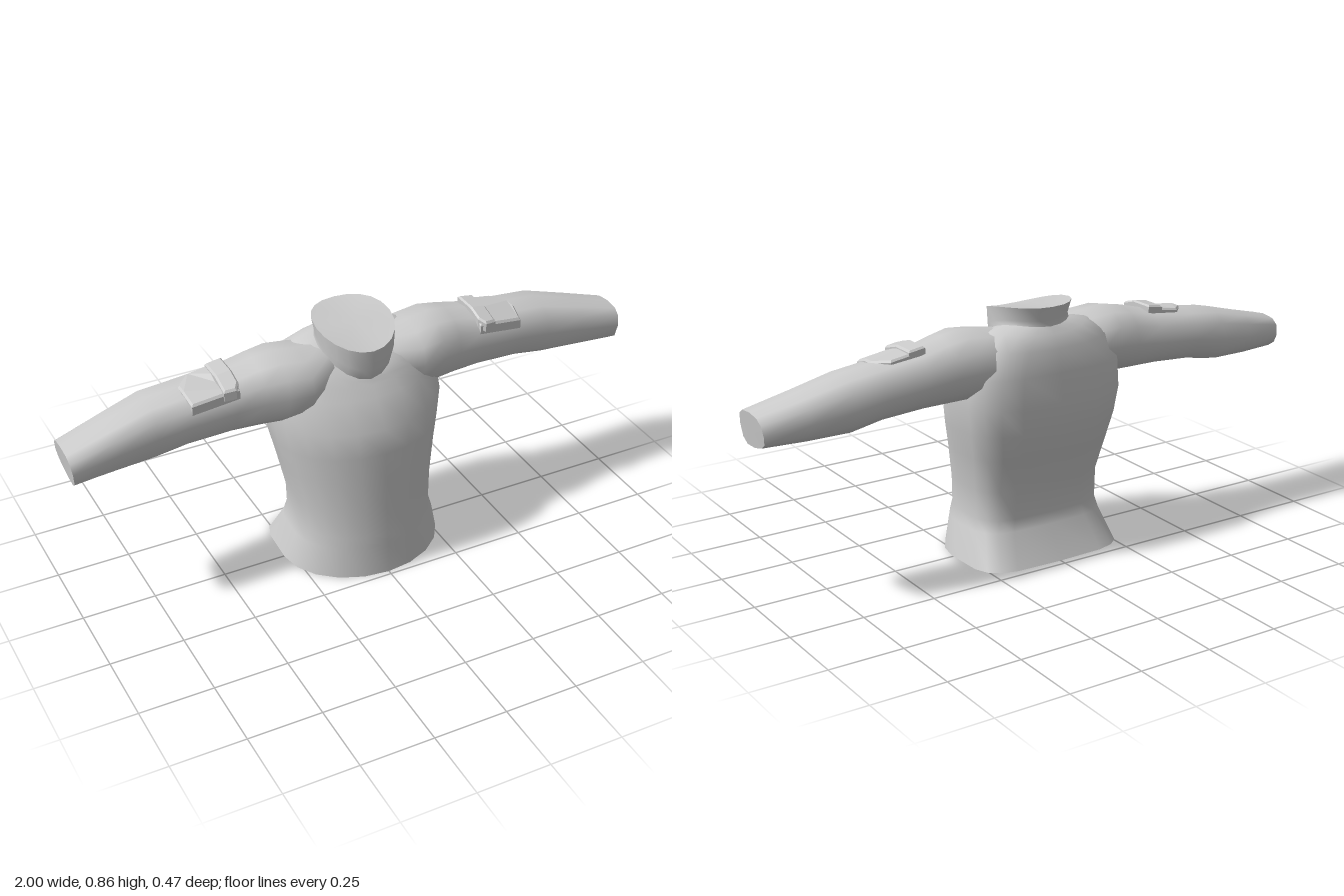
import * as THREE from 'three';

const fabric = new THREE.MeshStandardMaterial({ color: 0xcccccc, side: THREE.DoubleSide });
fabric.name = 'greyFabric';

const power = (v, e) => Math.sign(v) * Math.pow(Math.abs(v), e);

function addMesh(points, index, name) {
  const geo = new THREE.BufferGeometry().setFromPoints(points);
  geo.setIndex(index);
  geo.computeVertexNormals();
  const mesh = new THREE.Mesh(geo, fabric);
  mesh.name = name;
  return mesh;
}

// Smooth closed skin through a list of rings
function loft(rings, name) {
  const n = rings[0].length, index = [];
  for (let i = 0; i < rings.length - 1; i++) {
    for (let j = 0; j < n; j++) {
      const k = (j + 1) % n, a = i * n + j, b = i * n + k;
      index.push(a, b, a + n, b, b + n, a + n);
    }
  }
  return addMesh(rings.flat(), index, name);
}

// Flat fan closing one ring
function cap(ring, name, reverse) {
  const n = ring.length, index = [];
  const centre = ring.reduce((s, p) => s.add(p), new THREE.Vector3()).divideScalar(n);
  for (let j = 0; j < n; j++) {
    const k = (j + 1) % n;
    index.push(n, reverse ? k : j, reverse ? j : k);
  }
  return addMesh([...ring, centre], index, name);
}

// Body ring: heights at front, side and back, half width, front and back depth,
// and an exponent that squares off the back (1 is round)
function bodyRing([yf, ys, yb, w, zf, zb, e]) {
  const pts = [], n = 20;
  for (let j = 0; j < n; j++) {
    const a = (j / n) * Math.PI * 2, back = Math.cos(a) < -0.01;
    const c = power(Math.cos(a), back ? e : 1), s = power(Math.sin(a), back ? e : 1);
    const mid = (yf + yb) / 2;
    const y = mid + (c * (yf - yb)) / 2 + (ys - mid) * (1 - c * c);
    pts.push(new THREE.Vector3(w * s, y, (zf + zb) / 2 + (c * (zf - zb)) / 2));
  }
  return pts;
}

// Sleeve ring: distance out, top, bottom, front and back; squarer towards the cuff
function sleeveRing([x, top, bottom, zf, zb], side) {
  const pts = [], n = 12, e = 0.95 - 0.2 * x;
  for (let j = 0; j < n; j++) {
    const a = (j / n) * Math.PI * 2;
    const s = power(Math.sin(a), e), c = power(Math.cos(a), e);
    const lift = c < 0 ? 0.014 * c * s : 0;
    pts.push(new THREE.Vector3(
      side * (x + (x > 0.95 ? 0.007 * (c - 1) : 0)),
      (top + bottom) / 2 + (c * (top - bottom)) / 2 + lift,
      (zf + zb) / 2 + (s * (zf - zb)) / 2));
  }
  return side < 0 ? pts.reverse() : pts;
}

// Plate cut from a plan outline of [x, z] corners, dropping away outward and to the front
function plate(outline, side, top, thick, drop, name) {
  const shape = new THREE.Shape(outline.map(([x, z]) => new THREE.Vector2(side * x, -z)));
  const geo = new THREE.ExtrudeGeometry(shape, {
    depth: thick, bevelEnabled: true, bevelSize: 0.006, bevelThickness: 0.006, bevelSegments: 1,
  });
  geo.rotateX(-Math.PI / 2);
  const p = geo.attributes.position;
  for (let i = 0; i < p.count; i++) {
    const out = Math.abs(p.getX(i)) - 0.44, front = Math.max(0, p.getZ(i) + 0.02);
    p.setY(i, p.getY(i) - thick - 0.006 + top - out * 0.15 - front * drop);
  }
  geo.computeVertexNormals();
  const mesh = new THREE.Mesh(geo, fabric);
  mesh.name = name;
  return mesh;
}

export function createModel() {
  const model = new THREE.Group();
  model.name = 'longSleeveShirt';

  // Torso, from hem to neckline
  const torso = [
    [0, 0, 0, 0.28, 0.235, -0.225, 0.45],
    [0.11, 0.11, 0.11, 0.25, 0.226, -0.162, 0.5],
    [0.15, 0.15, 0.15, 0.237, 0.222, -0.156, 0.5],
    [0.25, 0.25, 0.25, 0.242, 0.216, -0.16, 0.55],
    [0.37, 0.37, 0.37, 0.265, 0.21, -0.2, 0.6],
    [0.46, 0.46, 0.46, 0.284, 0.204, -0.222, 0.6],
    [0.55, 0.55, 0.55, 0.297, 0.197, -0.232, 0.6],
    [0.64, 0.65, 0.65, 0.295, 0.138, -0.222, 0.65],
    [0.672, 0.735, 0.727, 0.262, 0.112, -0.208, 0.75],
    [0.685, 0.772, 0.768, 0.19, 0.103, -0.18, 0.85],
    [0.69, 0.78, 0.79, 0.128, 0.1, -0.162, 1],
  ].map(bodyRing);
  model.add(loft(torso, 'torso'), cap(torso[0], 'hem', true));

  // Stand-up collar, higher at the back
  const collar = [
    [0.69, 0.78, 0.79, 0.128, 0.1, -0.162, 1],
    [0.73, 0.795, 0.81, 0.126, 0.115, -0.162, 1],
    [0.8, 0.845, 0.856, 0.132, 0.115, -0.171, 0.9],
  ].map(bodyRing);
  model.add(loft(collar, 'collar'), cap(collar[2], 'neckOpening', false));

  for (const side of [1, -1]) {
    const arm = new THREE.Group();
    arm.name = side > 0 ? 'leftSleeve' : 'rightSleeve';

    // Sleeve from inside the shoulder to the cuff
    const rings = [
      [0.1, 0.775, 0.6, 0.06, -0.15],
      [0.2, 0.787, 0.58, 0.1, -0.18],
      [0.28, 0.797, 0.565, 0.09, -0.18],
      [0.35, 0.785, 0.565, 0.07, -0.172],
      [0.45, 0.76, 0.567, 0.056, -0.17],
      [0.6, 0.742, 0.56, 0.048, -0.172],
      [0.71, 0.73, 0.541, 0.042, -0.175],
      [0.85, 0.692, 0.537, 0.042, -0.152],
      [1, 0.652, 0.536, 0.046, -0.122],
    ].map((r) => sleeveRing(r, side));
    arm.add(loft(rings, 'sleeve'), cap(rings[rings.length - 1], 'cuff', false));

    // Upper-arm patch with a raised inner flap
    arm.add(
      plate([[0.44, -0.1], [0.55, -0.1], [0.595, -0.055], [0.595, -0.02], [0.588, 0.035],
        [0.44, 0.042], [0.44, -0.02]], side, 0.77, 0.03, 0.35, 'armPatch'),
      plate([[0.438, -0.1], [0.483, -0.1], [0.483, -0.02], [0.483, 0.045], [0.452, 0.05],
        [0.438, 0.03], [0.438, -0.02]], side, 0.78, 0.03, 0.3, 'patchFlap'));
    model.add(arm);
  }
  return model;
}
